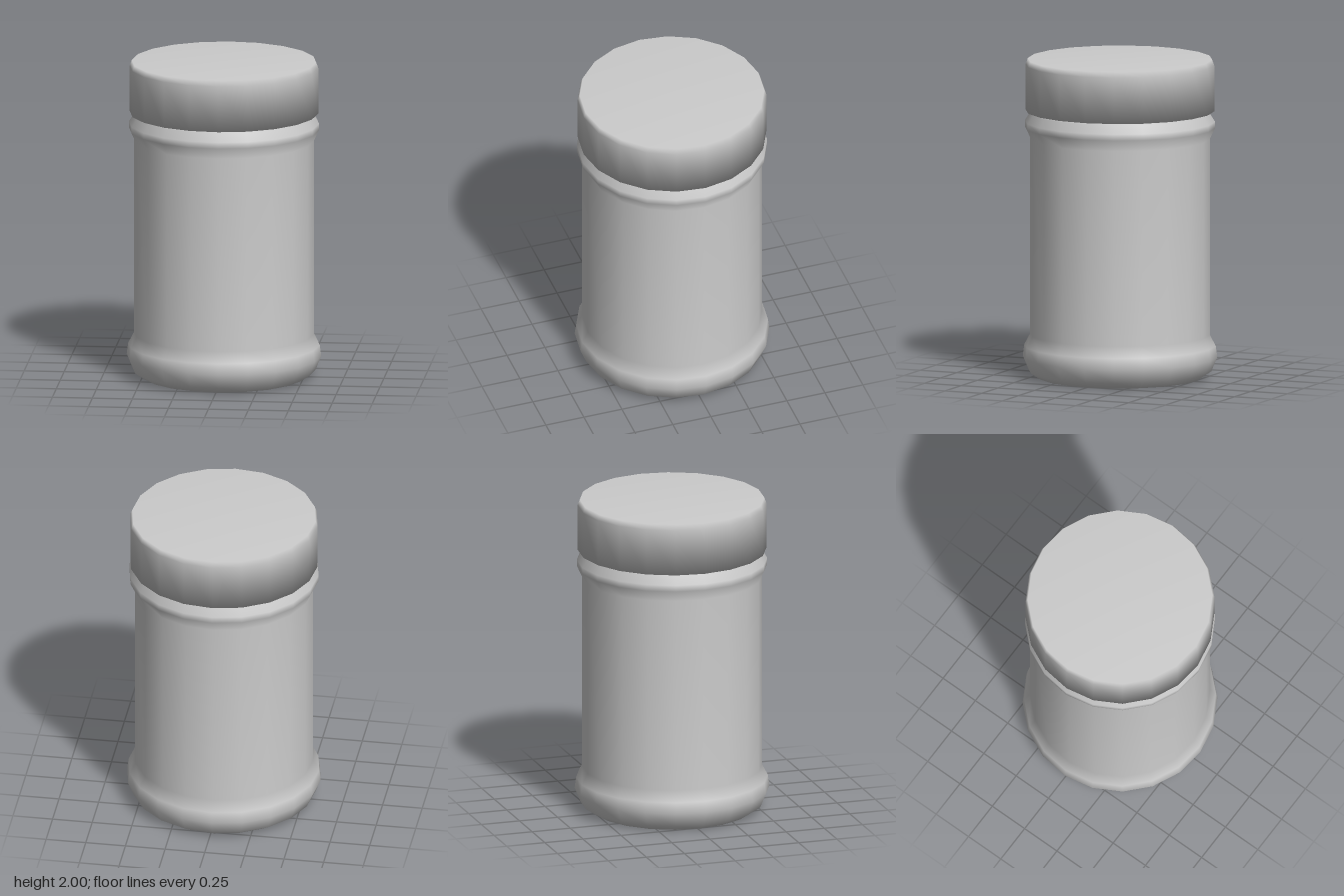
import * as THREE from 'three';

const SIDES = 20;
const TURN = THREE.MathUtils.degToRad(2);

// Closed, smooth-shaded solid of revolution; profile is [radius, y] from bottom to top.
function turned(name, profile, material) {
  const points = profile.map(([r, y]) => new THREE.Vector2(r, y));
  const mesh = new THREE.Mesh(new THREE.LatheGeometry(points, SIDES, TURN), material);
  mesh.name = name;
  return mesh;
}

export function createModel() {
  const group = new THREE.Group();
  group.name = 'jar';
  const material = new THREE.MeshStandardMaterial({ color: 0xcccccc });

  // Jar body: rounded foot, straight wall, shoulder bead and neck
  group.add(turned('jarBody', [
    [0, 0], [0.51, 0], [0.57, 0.04], [0.607, 0.13], [0.597, 0.2], [0.56, 0.27],
    [0.56, 1.5], [0.593, 1.57], [0.593, 1.61], [0.56, 1.66], [0.555, 1.7], [0, 1.7],
  ], material));

  // Screw lid: straight rim with a small bevel round the top
  group.add(turned('lid', [
    [0, 1.675], [0.588, 1.675], [0.588, 1.965], [0.575, 2], [0, 2],
  ], material));

  return group;
}
